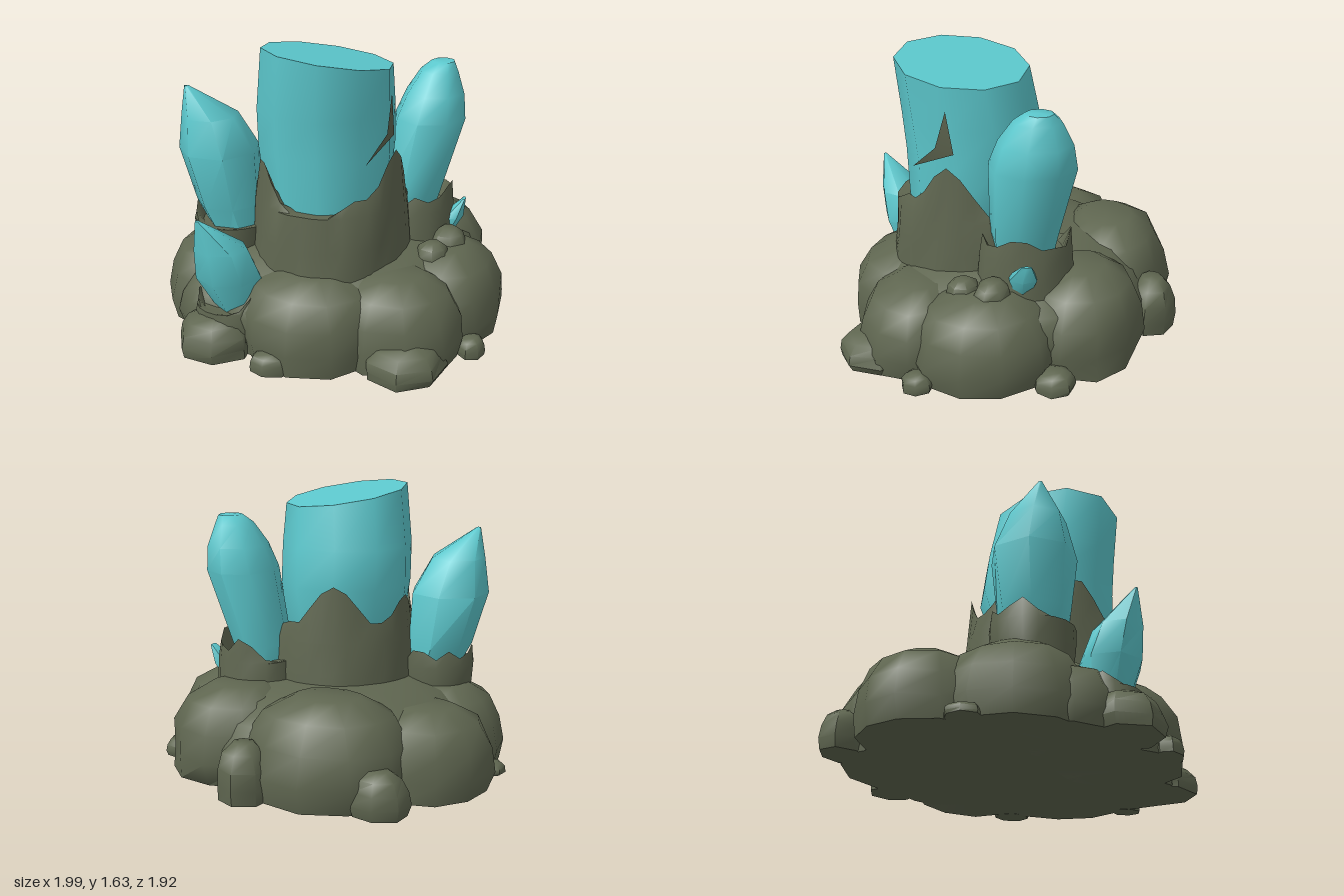
import * as THREE from 'three';
import { toCreasedNormals } from 'three/addons/utils/BufferGeometryUtils.js';

const rock = new THREE.MeshStandardMaterial({ color: 0x5f6650, side: THREE.DoubleSide });
rock.name = 'mossy rock';
const crystal = new THREE.MeshStandardMaterial({ color: 0x5cc8cd });
crystal.name = 'teal crystal';

let seed = 7;
const rand = () => {
  seed = (seed * 16807) % 2147483647;
  return seed / 2147483647;
};
const wobble = (amount) => (rand() * 2 - 1) * amount;

// Horizontal elliptical ring of points with slight irregularity, optionally tilted along x and z
function ring(n, cx, y, cz, rx, rz, jitter = 0, phase = 0, slopeX = 0, slopeZ = 0) {
  return Array.from({ length: n }, (_, j) => {
    const a = phase + (j / n) * Math.PI * 2;
    const k = 1 + wobble(jitter);
    const dx = Math.cos(a) * rx * k, dz = Math.sin(a) * rz * k;
    return [cx + dx, y + slopeX * dx + slopeZ * dz, cz + dz];
  });
}

// Closed skin over rings listed from bottom to top
function loft(rings, crease) {
  const n = rings[0].length;
  const points = rings.flat();
  const index = [];
  for (let i = 0; i < rings.length - 1; i++) {
    for (let j = 0; j < n; j++) {
      const k = (j + 1) % n;
      const a = i * n + j, b = i * n + k;
      index.push(a, a + n, b, b, a + n, b + n);
    }
  }
  const mean = (r) => [0, 1, 2].map((c) => r.reduce((s, p) => s + p[c], 0) / n);
  const bottom = points.push(mean(rings[0])) - 1;
  const top = points.push(mean(rings[rings.length - 1])) - 1;
  const last = (rings.length - 1) * n;
  for (let j = 0; j < n; j++) {
    const k = (j + 1) % n;
    index.push(bottom, j, k, top, last + k, last + j);
  }
  const g = new THREE.BufferGeometry();
  g.setAttribute('position', new THREE.Float32BufferAttribute(points.flat(), 3));
  g.setIndex(index);
  return toCreasedNormals(g, crease);
}

export function createModel() {
  const model = new THREE.Group();
  const add = (name, geometry, material) => {
    const mesh = new THREE.Mesh(geometry, material);
    mesh.name = name;
    model.add(mesh);
  };

  // The underside rises gently towards the back
  const ground = (z) => 0.045 - 0.037 * z;
  const settle = (r) => r.map(([x, y, z]) => [x, y + ground(z), z]);

  // Central mound filling the gaps between the boulders
  add('mound', loft([
    [0, 0.85, 0.83], [0.22, 0.86, 0.84], [0.36, 0.79, 0.76], [0.46, 0.63, 0.62], [0.51, 0.42, 0.44],
  ].map(([y, rx, rz]) => settle(ring(18, 0, y, 0, rx, rz, 0.03))), 1.2), rock);

  // Rounded boulder: x, z, radii, top height, base height
  const dome = [[0.96, 0], [1.02, 0.25], [0.96, 0.55], [0.78, 0.82], [0.4, 0.98]];
  function boulder(name, x, z, rx, rz, top, base = 0, n = 11, crease = 1.2) {
    const phase = rand() * 6;
    add(name, loft(dome.map(([r, t]) =>
      settle(ring(n, x, base + (top - ground(z) - base) * t, z, rx * r, rz * r, 0.05, phase))), crease), rock);
  }
  [
    [-0.6, -0.29, 0.37, 0.38, 0.52],
    [-0.12, -0.57, 0.46, 0.37, 0.62],
    [0.46, -0.38, 0.39, 0.35, 0.59],
    [0.64, 0.13, 0.35, 0.4, 0.52],
    [0.42, 0.5, 0.39, 0.34, 0.48],
    [-0.01, 0.58, 0.42, 0.35, 0.49],
    [-0.47, 0.43, 0.34, 0.27, 0.41],
    [-0.6, 0.18, 0.36, 0.39, 0.52],
  ].forEach((b) => boulder('boulder', ...b));

  // Small stones around the foot and on the right shoulder
  [
    [-0.52, 0.7, 0.21, 0.2, 0.24],
    [0.52, 0.74, 0.22, 0.21, 0.2],
    [-0.17, 0.87, 0.12, 0.08, 0.12],
    [-0.46, -0.81, 0.16, 0.13, 0.32],
    [0.27, -0.81, 0.15, 0.14, 0.4],
    [0.88, -0.24, 0.1, 0.11, 0.17],
    [-0.92, 0, 0.09, 0.1, 0.11],
    [0.85, 0.49, 0.08, 0.09, 0.13],
    [0.67, 0.09, 0.11, 0.11, 0.59, 0.35],
    [0.6, 0.25, 0.1, 0.1, 0.56, 0.35],
  ].forEach(([x, z, rx, rz, top, base]) => boulder('smallStone', x, z, rx, rz, top, base, 7, 0.9));

  // Rock collar with a ledge and a jagged crown; spikes are [angle in degrees, extra height, half width]
  function collar(name, x, z, rx, rz, y0, y1, flare, spikes, n) {
    const crown = ring(n, x, y1, z, rx * 0.95, rz * 0.95, 0.005).map(([px, py, pz], j) => {
      const a = (j / n) * 360;
      const lift = Math.max(0, ...spikes.map(([c, h, w]) => {
        const d = Math.abs(((a - c + 540) % 360) - 180);
        return h * Math.min(1, 1.15 * (1 - d / w));
      }));
      return [px, py + lift, pz];
    });
    add(name, loft([
      ring(n, x, y0, z, rx * flare, rz * flare, 0.02),
      ring(n, x, (y0 + y1) / 2, z, rx * (1 + flare) / 2, rz * (1 + flare) / 2, 0.02),
      ring(n, x, y1, z, rx, rz, 0.01),
      crown,
      ring(n, x, y1 - 0.01, z, rx * 0.78, rz * 0.78),
    ], 0.8), rock);
  }
  collar('mainCollar', 0.015, 0.19, 0.425, 0.46, 0.42, 0.8, 1.06,
    [[20, 0.31, 33], [55, 0.09, 25], [145, 0.24, 30], [192, 0.23, 36], [225, 0.1, 40],
      [260, 0.32, 42], [300, 0.1, 28]], 36);
  collar('rightCollar', 0.44, -0.09, 0.235, 0.255, 0.42, 0.67, 1.08,
    [[10, 0.14, 62], [75, 0.1, 35], [275, 0.14, 40], [320, 0.08, 25]], 18);
  collar('leftCollar', -0.55, 0.25, 0.22, 0.23, 0.4, 0.62, 0.9,
    [[185, 0.11, 35], [240, 0.1, 35], [290, 0.12, 30]], 18);
  collar('frontCollar', -0.46, 0.62, 0.19, 0.17, 0.1, 0.26, 1.1,
    [[20, 0.12, 45], [185, 0.07, 40], [300, 0.1, 60]], 18);

  // Crystals: rows of x, y, z, radii and tilt of the ring along x and z
  function shard(name, n, phase, jitter, rows) {
    add(name, loft(rows.map(([x, y, z, rx, rz, slopeX, slopeZ]) =>
      ring(n, x, y, z, rx, rz, jitter, phase, slopeX, slopeZ)), 0.95), crystal);
  }
  shard('mainCrystal', 10, 0.25, 0.015, [
    [0, 0.5, 0.24, 0.3, 0.3],
    [0, 0.8, 0.24, 0.35, 0.34],
    [-0.01, 1.08, 0.2, 0.382, 0.388],
    [-0.01, 1.3, 0.23, 0.382, 0.385],
    [0.01, 1.585, 0.27, 0.36, 0.37, -0.13, 0.09],
  ]);
  shard('leftCrystal', 7, 0.3, 0.03, [
    [-0.48, 0.45, 0.25, 0.13, 0.15],
    [-0.56, 0.72, 0.26, 0.19, 0.2],
    [-0.61, 1.03, 0.27, 0.235, 0.235],
    [-0.65, 1.23, 0.3, 0.16, 0.165],
    [-0.76, 1.4, 0.35, 0.012, 0.012],
  ]);
  shard('rightCrystal', 8, 0.2, 0.03, [
    [0.41, 0.55, -0.08, 0.13, 0.15],
    [0.43, 0.75, -0.08, 0.17, 0.19],
    [0.52, 1.18, -0.12, 0.21, 0.235],
    [0.54, 1.32, -0.13, 0.17, 0.2],
    [0.56, 1.44, -0.14, 0.11, 0.13],
    [0.58, 1.49, -0.15, 0.065, 0.075],
  ]);
  shard('frontCrystal', 7, 0, 0.03, [
    [-0.42, 0.2, 0.6, 0.1, 0.11],
    [-0.46, 0.43, 0.64, 0.185, 0.17],
    [-0.48, 0.61, 0.69, 0.145, 0.135],
    [-0.57, 0.8, 0.8, 0.01, 0.01],
  ]);
  shard('tinyCrystal', 6, 0, 0.04, [
    [0.63, 0.5, -0.07, 0.05, 0.05],
    [0.67, 0.6, -0.07, 0.065, 0.085],
    [0.735, 0.7, -0.09, 0.01, 0.03],
  ]);

  // Sliver of rock showing on the main crystal's side
  const vein = new THREE.BufferGeometry();
  vein.setAttribute('position', new THREE.Float32BufferAttribute([
    0.368, 1.42, 0.34, 0.378, 1.18, 0.3, 0.356, 1.21, 0.4, 0.266, 1.07, 0.53,
  ], 3));
  vein.setIndex([0, 2, 1, 1, 2, 3]);
  vein.computeVertexNormals();
  add('rockVein', vein, rock);

  return model;
}
